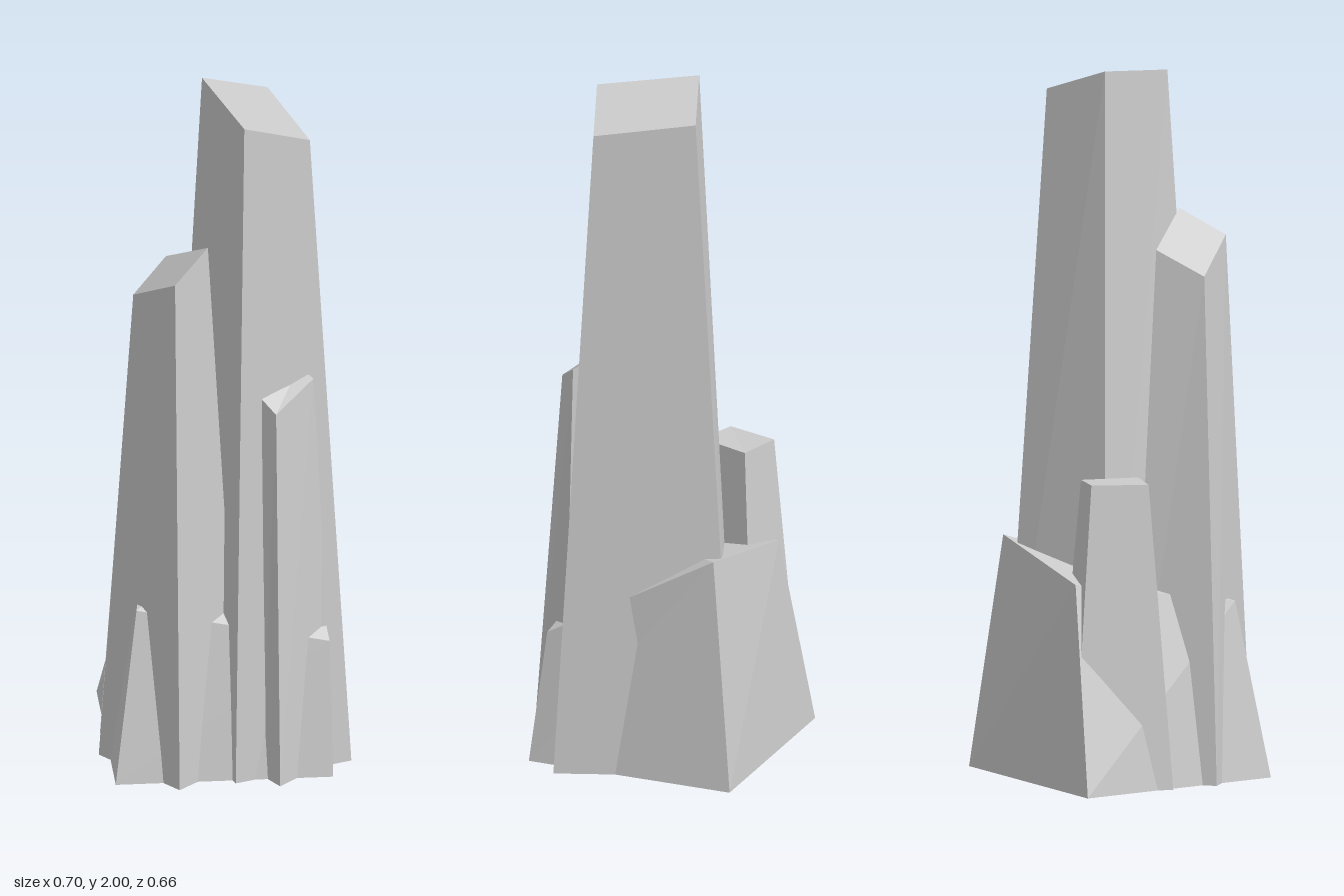
import * as THREE from 'three';

const material = new THREE.MeshStandardMaterial({ color: 0xcccccc, flatShading: true });

// Tapered, skewed block. Corners are [x, y, z] for the top and [x, z] on the ground,
// ordered back left, back right, front right, front left as seen from above.
function shard(name, top, ground) {
  const geometry = new THREE.BoxGeometry(1, 1, 1);
  const p = geometry.attributes.position;
  for (let i = 0; i < p.count; i++) {
    const right = p.getX(i) > 0, front = p.getZ(i) > 0;
    const corner = front ? (right ? 2 : 3) : (right ? 1 : 0);
    if (p.getY(i) > 0) p.setXYZ(i, ...top[corner]);
    else p.setXYZ(i, ground[corner][0], 0, ground[corner][1]);
  }
  geometry.computeVertexNormals();
  const mesh = new THREE.Mesh(geometry, material);
  mesh.name = name;
  return mesh;
}

export function createModel() {
  const group = new THREE.Group();
  group.name = 'rockSpires';

  group.add(
    // Wide, low block that the spires grow out of
    shard('baseRock',
      [[-0.18, 0.58, -0.28], [0.23, 0.66, -0.255], [0.285, 0.395, 0.226], [-0.255, 0.5, 0.203]],
      [[-0.32, -0.33], [0.29, -0.33], [0.29, 0.28], [-0.32, 0.28]]),
    // Tallest spire
    shard('mainSpire',
      [[-0.045, 2, -0.095], [0.145, 1.93, -0.165], [0.24, 1.89, 0.105], [0.05, 1.965, 0.175]],
      [[-0.145, -0.16], [0.175, -0.293], [0.35, 0.18], [0.015, 0.3]]),
    // Second spire, front right of the model
    shard('secondSpire',
      [[-0.255, 1.43, 0.1], [-0.155, 1.5, 0.005], [-0.05, 1.59, 0.15], [-0.15, 1.52, 0.24]],
      [[-0.35, 0.08], [-0.165, -0.087], [0.04, 0.163], [-0.145, 0.33]]),
    // Stubby spire at the back
    shard('backSpire',
      [[-0.215, 0.865, -0.25], [-0.1, 0.86, -0.21], [-0.155, 0.86, -0.055], [-0.27, 0.86, -0.095]],
      [[-0.238, -0.325], [-0.04, -0.262], [-0.135, 0.015], [-0.335, -0.055]]),
    // Slim spire leaning on the front of the tallest one
    shard('frontSpire',
      [[0.097, 1.14, 0.205], [0.207, 1.2, 0.125], [0.245, 1.18, 0.165], [0.133, 1.11, 0.245]],
      [[0.092, 0.255], [0.26, 0.1], [0.305, 0.168], [0.137, 0.33]])
  );
  return group;
}
